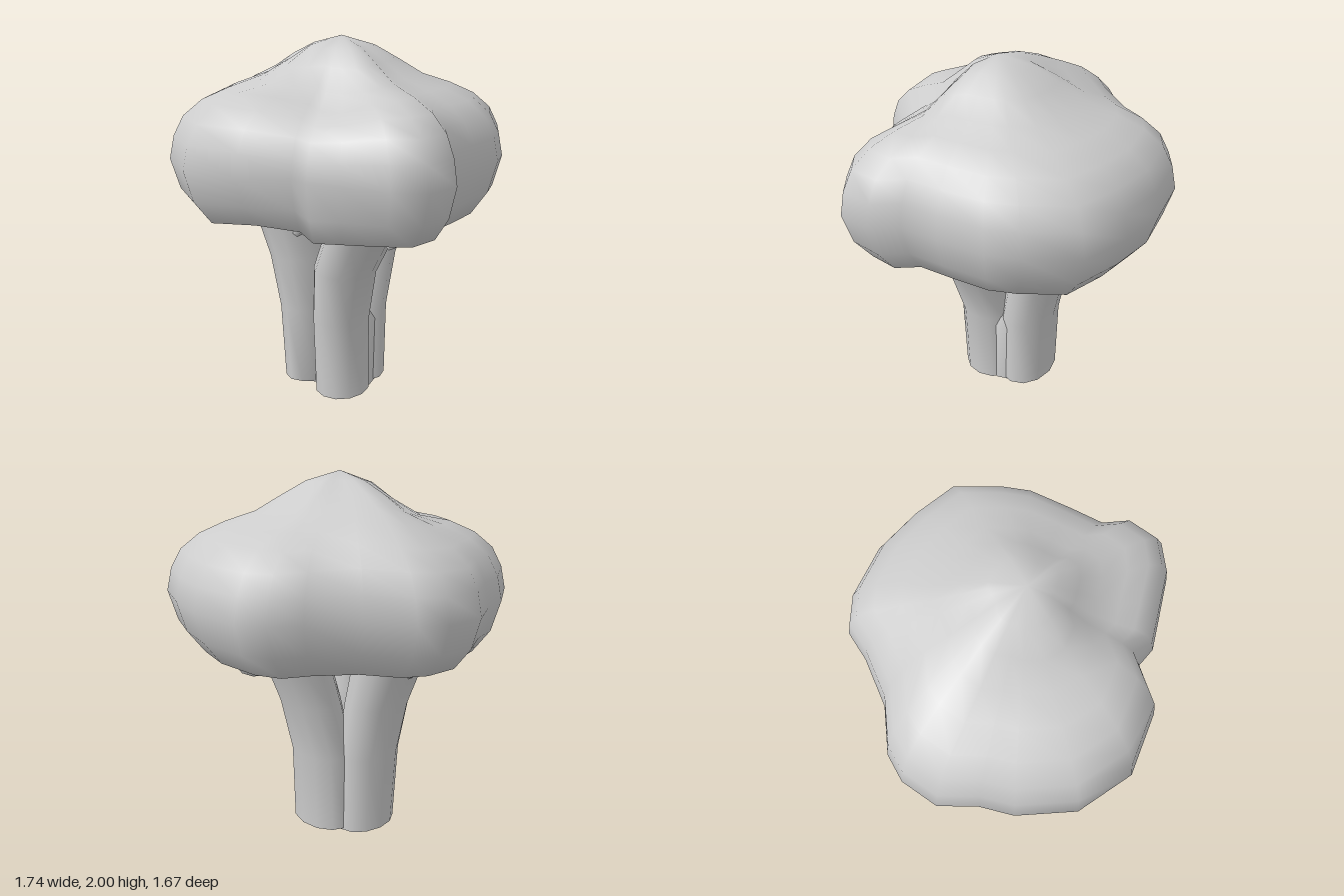
import * as THREE from 'three';
import { mergeVertices, toCreasedNormals } from 'three/addons/utils/BufferGeometryUtils.js';

// Skin a stack of closed rings (listed bottom to top, clockwise from above)
function loft(rings) {
  const n = rings[0].length, pos = [], idx = [];
  rings.forEach(r => r.forEach(p => pos.push(...p)));
  for (let j = 0; j < rings.length - 1; j++) {
    for (let i = 0; i < n; i++) {
      const k = (i + 1) % n, a = j * n + i, b = j * n + k, c = a + n, d = b + n;
      if (j < rings.length - 2) idx.push(a, c, d);
      else idx.push(a, c, b);
      if (j > 0 && j < rings.length - 2) idx.push(a, d, b);
      if (j === 0) idx.push(a, d, b);
    }
  }
  const g = new THREE.BufferGeometry();
  g.setAttribute('position', new THREE.Float32BufferAttribute(pos, 3));
  g.setIndex(idx);
  const merged = mergeVertices(g, 1e-4);
  merged.computeVertexNormals();
  return merged;
}

const bump = (x, z, cx, cz, w) => Math.exp(-((x - cx) ** 2 + (z - cz) ** 2) / (w * w));

// Widest outline of the crown in x, z
const OUTLINE = [
  [0.05, -0.84], [0.3, -0.8], [0.55, -0.72], [0.69, -0.49], [0.75, -0.34], [0.77, -0.1],
  [0.78, 0.1], [0.87, 0.22], [0.85, 0.4], [0.72, 0.5], [0.5, 0.57], [0.34, 0.62], [0.22, 0.6],
  [0.05, 0.78], [-0.27, 0.83], [-0.55, 0.7], [-0.72, 0.46], [-0.77, 0.3], [-0.87, 0.13],
  [-0.86, -0.07], [-0.79, -0.2], [-0.6, -0.35], [-0.45, -0.57], [-0.38, -0.72], [-0.24, -0.8],
];
// Crown profile: share of the outline, height
const PROFILE = [
  [0, 1.2], [0.4, 1.14], [0.7, 1.09], [0.85, 1.11], [0.95, 1.23], [1, 1.39], [0.97, 1.51], [0.91, 1.61],
  [0.8, 1.69], [0.65, 1.75], [0.48, 1.8], [0.33, 1.88], [0.19, 1.95], [0, 2],
];

function crownGeometry() {
  const cx = 0.05, cz = 0.05;
  return loft(PROFILE.map(([s, y]) => OUTLINE.map(([ox, oz]) => {
    const x = cx + s * (ox - cx), z = cz + s * (oz - cz);
    let h = y;
    if (y > 1.5 && s > 0) {
      h += 0.07 * bump(x, z, -0.36, -0.12, 0.22);  // left shoulder
      h -= 0.08 * bump(x, z, 0.3, 0.42, 0.2);      // hollow between front lobes
      h -= 0.04 * bump(x, z, -0.15, 0.32, 0.15);
    } else if (y < 1.3) {
      h += 0.05 * bump(x, z, 0.08, 0.6, 0.16);     // scalloped lower edge
      h -= 0.04 * bump(x, z, 0.3, 0.5, 0.15);
      h += 0.03 * bump(x, z, -0.36, 0.6, 0.12);
    }
    return [x, h, z];
  })));
}

// Stalk from elliptical sections [y, x, z, rx, rz], closed to a low point below
function stalkGeometry(sections) {
  const n = 12;
  const rings = sections.map(([y, x, z, rx, rz]) => Array.from({ length: n }, (_, i) => {
    const a = (i / n) * Math.PI * 2;
    return [x + rx * Math.cos(a), y, z + rz * Math.sin(a)];
  }));
  const pole = p => Array.from({ length: n }, () => p);
  const [ty, tx, tz] = sections[sections.length - 1];
  return toCreasedNormals(loft([pole([-0.02, 0, 0]), ...rings, pole([tx, ty + 0.02, tz])]), 0.95);
}

const STALKS = {
  rightStalk: [[0.06, 0.09, 0.09, 0.145, 0.16], [0.5, 0.09, 0.1, 0.15, 0.165], [0.8, 0.15, 0.14, 0.17, 0.165],
    [1.0, 0.26, 0.17, 0.18, 0.17], [1.2, 0.38, 0.2, 0.21, 0.18]],
  leftStalk: [[0.06, -0.18, 0.05, 0.13, 0.18], [0.5, -0.19, 0.06, 0.14, 0.185], [0.8, -0.23, 0.08, 0.155, 0.19],
    [1.0, -0.28, 0.1, 0.175, 0.2], [1.2, -0.33, 0.13, 0.22, 0.22]],
  backStalk: [[0.07, 0, -0.11, 0.2, 0.15], [0.5, 0, -0.12, 0.2, 0.15], [0.8, 0.02, -0.18, 0.19, 0.155],
    [1.0, 0.04, -0.24, 0.2, 0.165], [1.2, 0.06, -0.31, 0.23, 0.18]],
  stalkCore: [[0.06, 0, -0.02, 0.2, 0.18], [0.45, 0, -0.03, 0.2, 0.18], [0.62, 0, -0.04, 0.13, 0.11]],
};

// Small shoots, each a short bent path
const TWIGS = [
  [[-0.36, 0.95, 0.1], [-0.46, 1.02, 0.11], [-0.62, 1.15, 0.12]],
  [[-0.14, 0.96, 0.2], [-0.09, 1.0, 0.22], [0.04, 1.15, 0.24]],
  [[0.14, 0.96, -0.18], [0.19, 1.01, -0.13], [0.15, 1.16, -0.01]],
  [[0.44, 1.0, 0.14], [0.53, 1.05, 0.14], [0.6, 1.2, 0.12]],
  [[0.15, 0.97, -0.35], [0.17, 0.98, -0.48], [0.18, 1.12, -0.58]],
];

export function createModel() {
  const group = new THREE.Group();
  const grey = new THREE.MeshStandardMaterial({ color: 0xcccccc });
  grey.name = 'plain grey';
  const add = (name, geometry) => {
    const mesh = new THREE.Mesh(geometry, grey);
    mesh.name = name;
    group.add(mesh);
  };

  add('crown', crownGeometry());
  for (const [name, sections] of Object.entries(STALKS)) add(name, stalkGeometry(sections));

  TWIGS.forEach((points, i) => {
    const path = new THREE.CurvePath();
    const v = points.map(p => new THREE.Vector3(...p));
    path.add(new THREE.LineCurve3(v[0], v[1]));
    path.add(new THREE.LineCurve3(v[1], v[2]));
    add('twig' + (i + 1), new THREE.TubeGeometry(path, 6, 0.028, 6));
  });
  return group;
}
